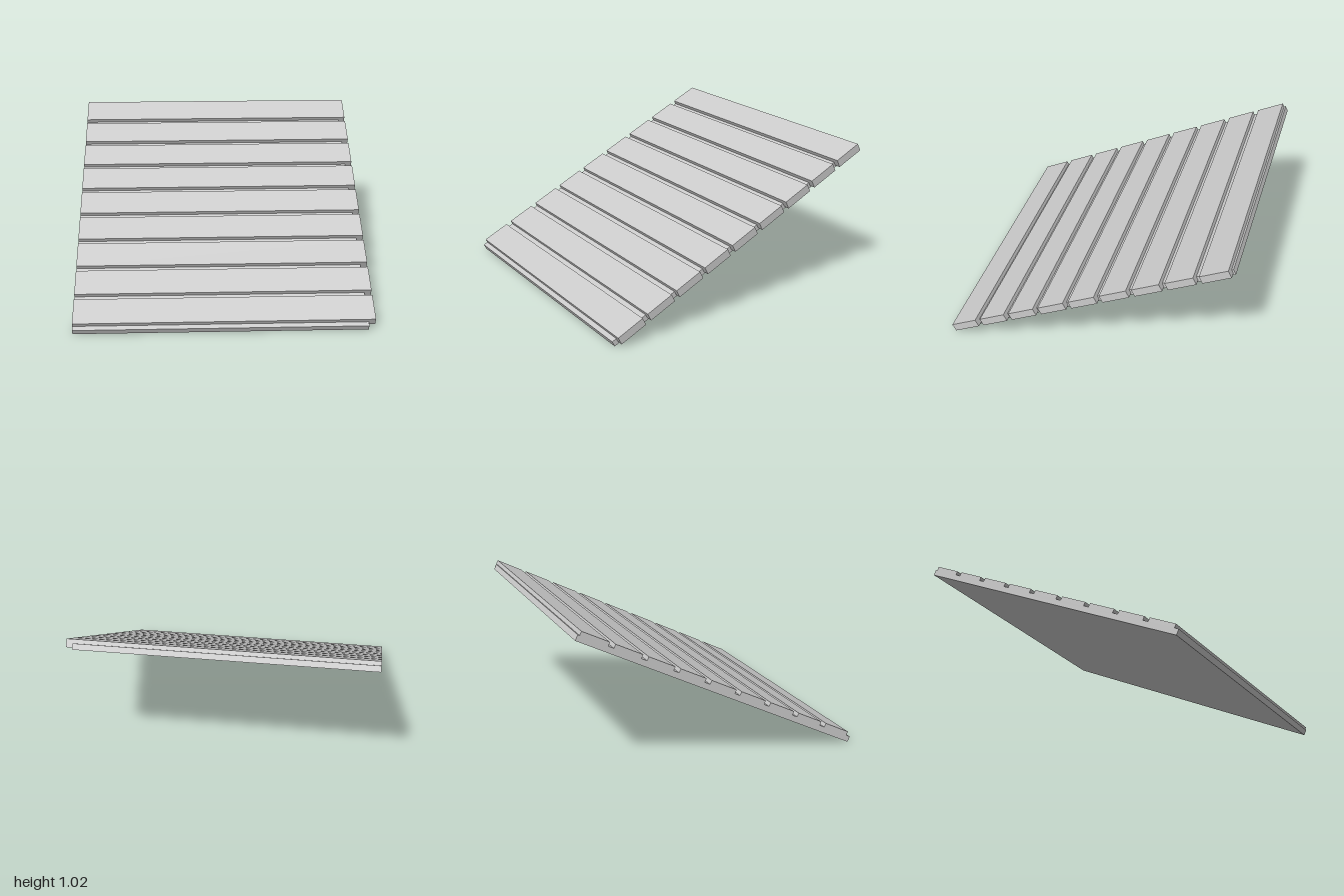
import * as THREE from 'three';

const SLOPE = Math.atan2(0.97, 1.95);
const SLATS = 9;
const PITCH = 0.2415; // spacing measured along the slope

export function createModel() {
  const model = new THREE.Group();
  const material = new THREE.MeshStandardMaterial({ color: 0xcccccc, flatShading: true });

  // everything is laid out flat, then tilted as one panel
  const panel = new THREE.Group();
  panel.name = 'slopedPanel';
  panel.rotation.x = SLOPE;
  panel.position.y = 0.504;
  model.add(panel);

  const addBoard = (name, size, position) => {
    const mesh = new THREE.Mesh(new THREE.BoxGeometry(...size), material);
    mesh.name = name;
    mesh.position.set(...position);
    panel.add(mesh);
  };

  // backing board, stopping short of the slat ends on the left
  addBoard('backingBoard', [1.955, 0.04, 2.178], [-0.0225, 0, 0]);

  // evenly spaced slats, partly sunk into the board
  for (let i = 0; i < SLATS; i++) {
    const z = (i - (SLATS - 1) / 2) * PITCH - 0.01;
    addBoard(`slat${i + 1}`, [2, 0.055, 0.2], [0, 0.02, z]);
  }

  return model;
}
